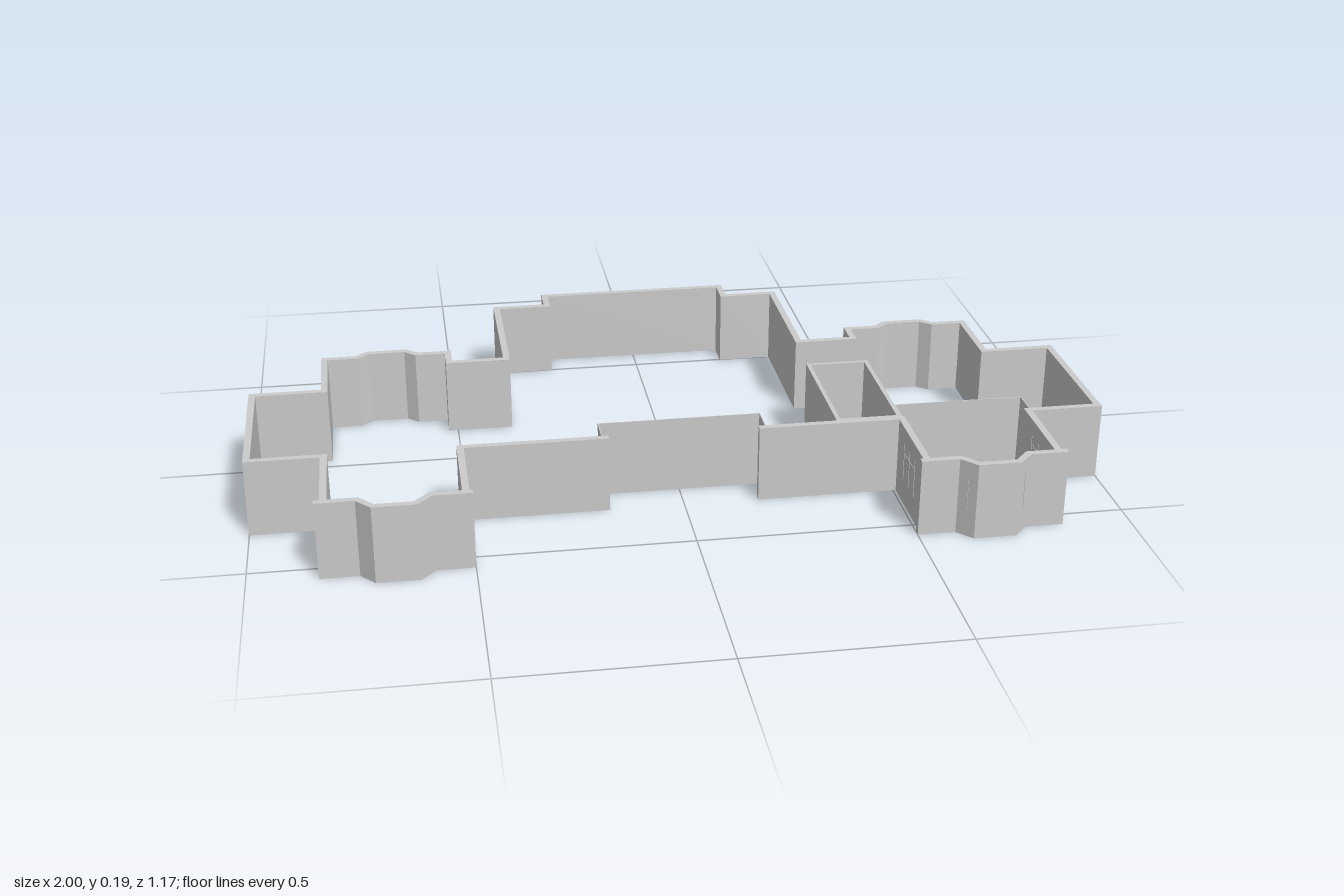
import * as THREE from 'three';

const HEIGHT = 0.185;
const WALL = 0.016;
const material = new THREE.MeshStandardMaterial({ color: 0xcccccc, flatShading: true, side: THREE.DoubleSide });

// Extrudes a plan outline given as [x, z] points upward from y = 0
function extrudePlan(points, height) {
  const shape = new THREE.Shape(points.map(([x, z]) => new THREE.Vector2(x, -z)));
  const geometry = new THREE.ExtrudeGeometry(shape, { depth: height, bevelEnabled: false });
  return geometry.rotateX(-Math.PI / 2);
}

// Offsets an open path to its inner side with mitred corners
function offsetPath(path, t) {
  const normal = (a, b) => {
    const dx = b[0] - a[0], dz = b[1] - a[1], l = Math.hypot(dx, dz);
    return [-dz / l, dx / l];
  };
  return path.map((p, i) => {
    const n1 = i > 0 ? normal(path[i - 1], p) : normal(p, path[1]);
    const n2 = i < path.length - 1 ? normal(p, path[i + 1]) : n1;
    const k = t / (1 + n1[0] * n2[0] + n1[1] * n2[1]);
    return [p[0] + (n1[0] + n2[0]) * k, p[1] + (n1[1] + n2[1]) * k];
  });
}

const wall = (path, t = WALL) => extrudePlan([...path, ...offsetPath(path, t).reverse()], HEIGHT);
const mirror = (path) => path.map(([x, z]) => [-x, z]).reverse();

export function createModel() {
  const group = new THREE.Group();
  const add = (name, geometry) => {
    const mesh = new THREE.Mesh(geometry, material);
    mesh.name = name;
    group.add(mesh);
    return mesh;
  };

  // Back and side walls, one symmetric run
  const half = [
    [0.246, -0.583], [0.246, -0.514], [0.38, -0.514], [0.38, -0.176],
    [0.507, -0.176], [0.507, -0.239], [0.59, -0.239], [0.617, -0.263],
    [0.717, -0.263], [0.744, -0.239], [0.829, -0.239], [0.829, -0.047],
    [1, -0.047], [1, 0.324], [0.829, 0.324], [0.829, 0.535],
  ];
  add('outerWall', wall([...mirror(half), ...half]));

  // Front bays and front walls, left and right
  const bay = [[0.842, 0.547], [0.753, 0.547], [0.72, 0.583], [0.621, 0.583], [0.588, 0.547], [0.5, 0.547]];
  const front = [[0.507, 0.535], [0.507, 0.324], [0.175, 0.324]];
  for (const [side, flip] of [['left', (p) => p], ['right', mirror]]) {
    add(side + 'FrontBay', wall(flip(bay)));
    add(side + 'FrontWall', wall(flip(front)));
  }

  // Recessed entrance panel
  add('entrancePanel', wall([[0.19, 0.324], [0.19, 0.243], [-0.19, 0.243], [-0.19, 0.324]], 0.002));

  // Small inner room with its floor
  const [x0, x1, z0, z1] = [0.361, 0.516, -0.024, 0.31];
  const room = [[x0, z0], [x1, z0], [x1, z1], [x0, z1]];
  const ring = new THREE.Shape(room.map(([x, z]) => new THREE.Vector2(x, -z)));
  const t = 0.01;
  ring.holes.push(new THREE.Path([
    [x0 + t, z0 + t], [x0 + t, z1 - t], [x1 - t, z1 - t], [x1 - t, z0 + t],
  ].map(([x, z]) => new THREE.Vector2(x, -z))));
  add('innerRoomWalls', new THREE.ExtrudeGeometry(ring, { depth: HEIGHT, bevelEnabled: false }).rotateX(-Math.PI / 2));
  add('innerRoomFloor', extrudePlan(room, 0.003));

  // Bay room floor and thin back partition
  add('bayRoomFloor', extrudePlan([
    [0.509, 0.243], [0.827, 0.243], [0.827, 0.545], [0.752, 0.545],
    [0.719, 0.581], [0.622, 0.581], [0.589, 0.545], [0.509, 0.545],
  ], 0.003));
  add('bayRoomPartition', wall([[0.516, 0.32], [0.516, 0.243], [0.827, 0.243], [0.827, 0.32]], 0.002));

  // Slim window bars set into the bay room walls
  const bar = (x, z, turn, y, w, h) => {
    const mesh = add('windowBar', new THREE.BoxGeometry(w, h, WALL + 0.002));
    mesh.position.set(x, y, z);
    mesh.rotation.y = turn;
  };
  for (const s of [-1, 1]) {
    bar(0.6705 + s * 0.0605, 0.5595, s * 0.83, 0.102, 0.003, 0.09);
    for (const z of [0.38, 0.425, 0.47]) bar(0.668 + s * 0.153, z, Math.PI / 2, 0.102, 0.003, 0.09);
    bar(0.668 + s * 0.153, 0.425, Math.PI / 2, 0.125, 0.09, 0.003);
  }
  return group;
}
